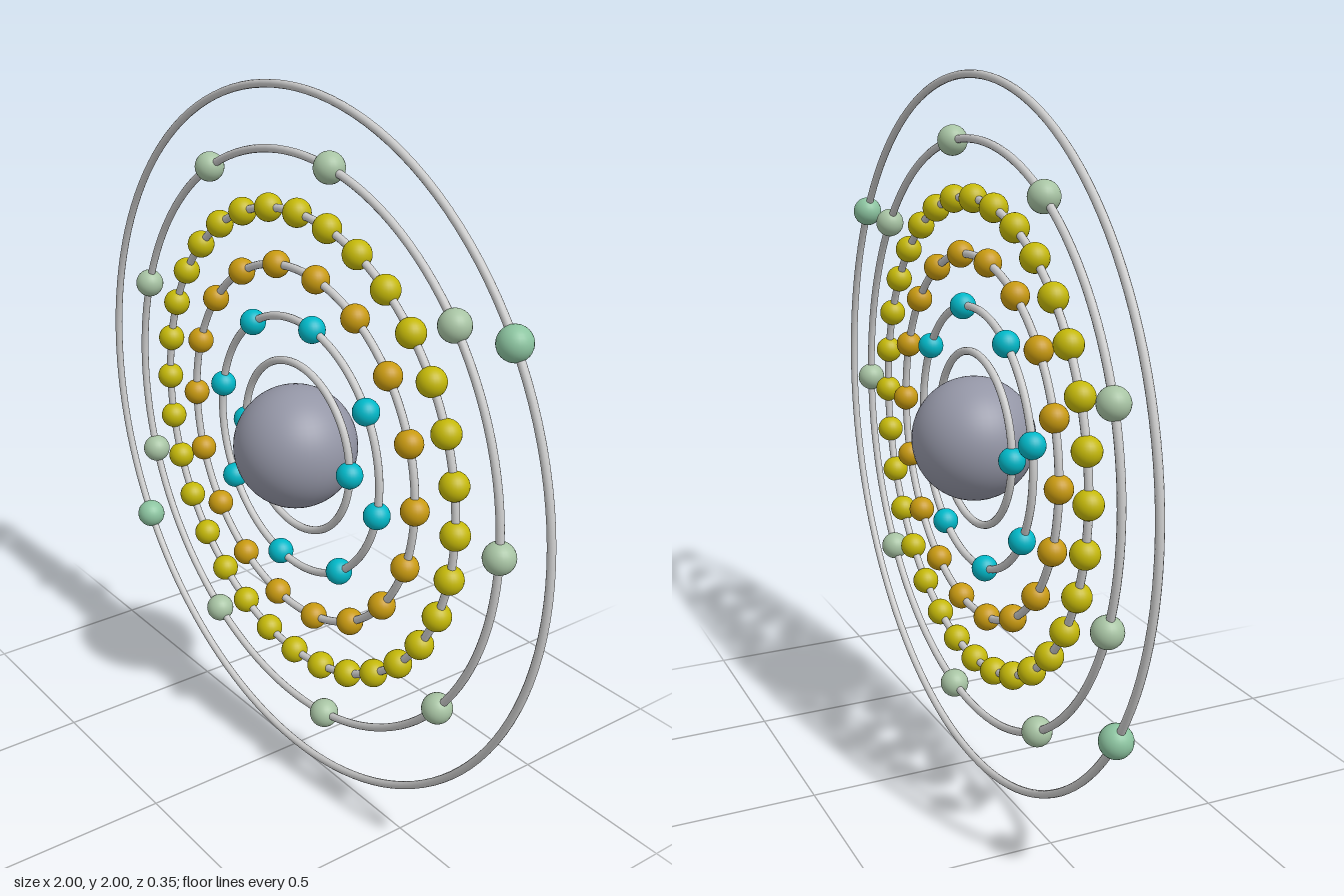
import * as THREE from 'three';

// Each shell: ring radius, bead count, angle of first bead (degrees), bead radius, bead colour
const SHELLS = [
  { radius: 0.245, count: 2, start: 0, bead: 0.037, color: 0x00b8c8 },
  { radius: 0.37, count: 8, start: 33.5, bead: 0.037, color: 0x00b8c8 },
  { radius: 0.513, count: 18, start: 0, bead: 0.038, color: 0xc89a10 },
  { radius: 0.666, count: 32, start: -0.5, bead: 0.039, color: 0xc4b808 },
  { radius: 0.822, count: 9, start: 0, bead: 0.042, color: 0xa8c4a4 },
  { radius: 0.989, count: 2, start: 33.2, bead: 0.044, color: 0x8cc4a0 },
];
const TUBE = 0.011;
const CENTRE_Y = 1;

function addMesh(parent, name, geometry, material) {
  const mesh = new THREE.Mesh(geometry, material);
  mesh.name = name;
  parent.add(mesh);
  return mesh;
}

export function createModel() {
  const model = new THREE.Group();
  model.name = 'atomModel';
  const grey = new THREE.MeshStandardMaterial({ color: 0xcccccc });

  // Central ball
  const core = new THREE.MeshStandardMaterial({ color: 0x9496a6 });
  addMesh(model, 'nucleus', new THREE.SphereGeometry(0.175, 48, 32), core).position.y = CENTRE_Y;

  // Concentric upright rings with evenly spaced beads
  SHELLS.forEach((s, i) => {
    const shell = new THREE.Group();
    shell.name = `shell${i + 1}`;
    shell.position.y = CENTRE_Y;
    model.add(shell);

    // Ring
    addMesh(shell, 'ring', new THREE.TorusGeometry(s.radius, TUBE, 12, 128), grey);

    // Beads
    const geometry = new THREE.SphereGeometry(s.bead, 24, 16);
    const material = new THREE.MeshStandardMaterial({ color: s.color });
    for (let k = 0; k < s.count; k++) {
      const a = THREE.MathUtils.degToRad(s.start + (360 * k) / s.count);
      addMesh(shell, 'electron', geometry, material)
        .position.set(s.radius * Math.cos(a), s.radius * Math.sin(a), 0);
    }
  });
  return model;
}
